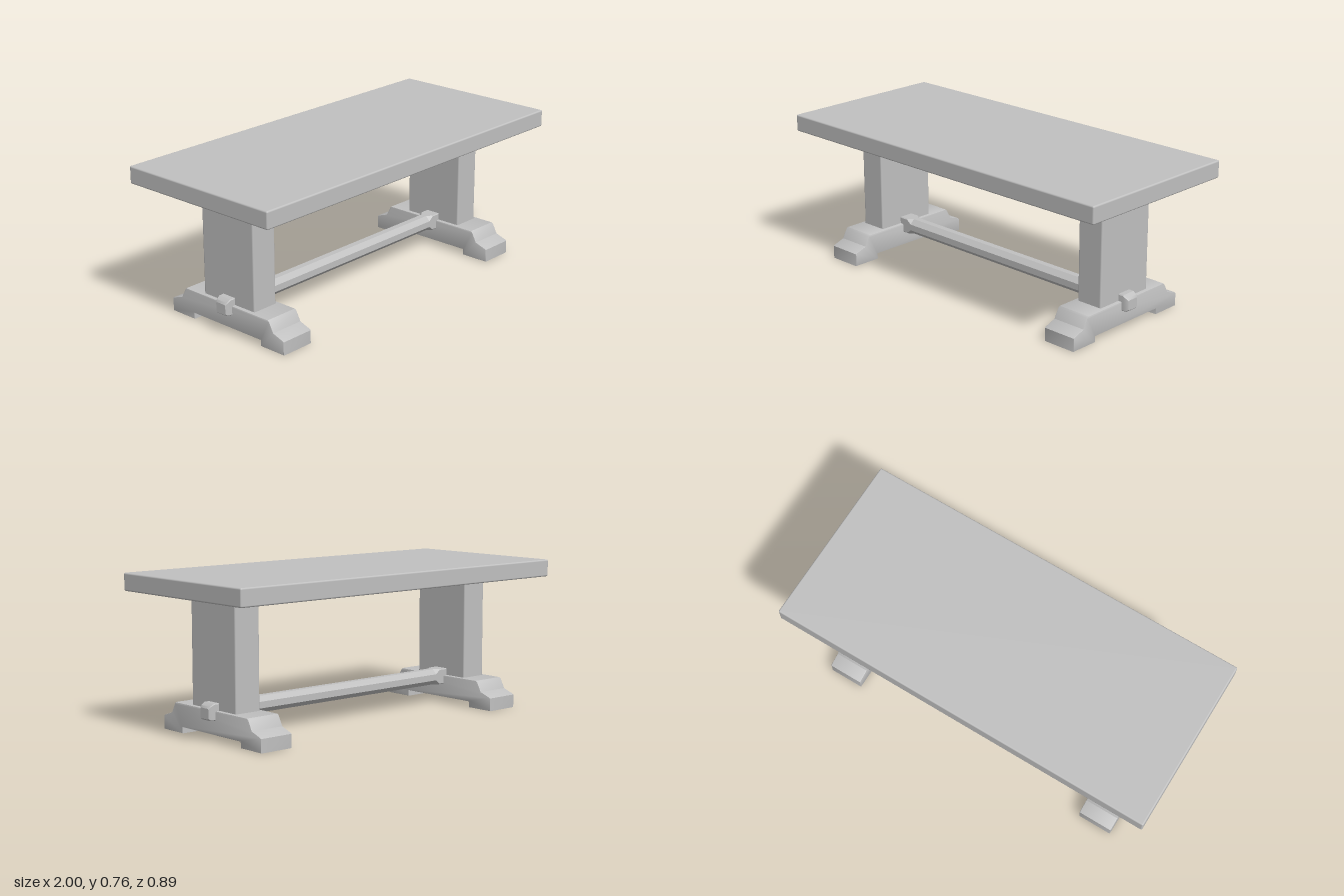
import * as THREE from 'three';
import { toCreasedNormals } from 'three/addons/utils/BufferGeometryUtils.js';
import { RoundedBoxGeometry } from 'three/addons/geometries/RoundedBoxGeometry.js';

// Bar along x, lofted through octagonal sections: [x, yBottom, yTop, halfDepth, chamfer]
function loftBar(sections) {
  const rings = sections.map(([x, y0, y1, d, c]) => [
    [y1, -d + c], [y1, d - c], [y1 - c, d], [y0 + c, d],
    [y0, d - c], [y0, -d + c], [y0 + c, -d], [y1 - c, -d],
  ].map(([y, z]) => new THREE.Vector3(x, y, z)));
  const points = [];
  for (let i = 0; i < rings.length - 1; i++) {
    for (let j = 0; j < 8; j++) {
      const k = (j + 1) % 8;
      const [a, b, c, d] = [rings[i][j], rings[i][k], rings[i + 1][k], rings[i + 1][j]];
      points.push(a, b, c, a, c, d);
    }
  }
  const first = rings[0], last = rings[rings.length - 1];
  for (let j = 1; j < 7; j++) {
    points.push(first[0], first[j + 1], first[j]);
    points.push(last[0], last[j], last[j + 1]);
  }
  const geometry = new THREE.BufferGeometry().setFromPoints(points);
  geometry.computeVertexNormals();
  return toCreasedNormals(geometry, 0.5);
}

// Stepped trestle foot with a raised underside, symmetric in z
function footGeometry() {
  const half = [[0.222, 0.03], [0.222, 0], [0.371, 0], [0.371, 0.066],
    [0.364, 0.071], [0.306, 0.091], [0.281, 0.138], [0.272, 0.145]];
  const outline = [...half, ...half.map(([z, y]) => [-z, y]).reverse()];
  const shape = new THREE.Shape(outline.map(([z, y]) => new THREE.Vector2(z, y)));
  const bevel = 0.005, width = 0.18;
  const geometry = new THREE.ExtrudeGeometry(shape, {
    depth: width - 2 * bevel, bevelEnabled: true, bevelSize: bevel,
    bevelThickness: bevel, bevelOffset: -bevel, bevelSegments: 2,
  });
  geometry.translate(0, 0, -width / 2 + bevel);
  geometry.rotateY(Math.PI / 2);
  return toCreasedNormals(geometry, 0.6);
}

export function createModel() {
  const table = new THREE.Group();
  table.name = 'trestleTable';
  const grey = new THREE.MeshStandardMaterial({ color: 0xc0c0c0 });
  grey.name = 'plain grey';

  const add = (name, geometry, x = 0, y = 0) => {
    const mesh = new THREE.Mesh(geometry, grey);
    mesh.name = name;
    mesh.position.set(x, y, 0);
    table.add(mesh);
  };

  // Thick slab top
  add('tableTop', new RoundedBoxGeometry(2, 0.087, 0.894, 3, 0.008), 0, 0.7165);

  // A post on a foot at each end
  const post = new RoundedBoxGeometry(0.14, 0.56, 0.334, 3, 0.008);
  const foot = footGeometry();
  for (const [side, s] of [['left', 1], ['right', -1]]) {
    add(side + 'Post', post, s * 0.746, 0.41);
    add(side + 'Foot', foot, s * 0.746);
  }

  // Stretcher: chamfered middle, square near the feet, tapered tenon ends
  const end = [
    [0.87, 0.108, 0.158, 0.03, 0.004], [0.862, 0.101, 0.168, 0.036, 0.004],
    [0.843, 0.1, 0.18, 0.04, 0.004], [0.625, 0.1, 0.18, 0.04, 0.004],
    [0.6, 0.1, 0.18, 0.04, 0.024],
  ];
  const mirrored = end.map(([x, ...rest]) => [-x, ...rest]);
  add('stretcher', loftBar([...mirrored, ...end.reverse()]));

  return table;
}
